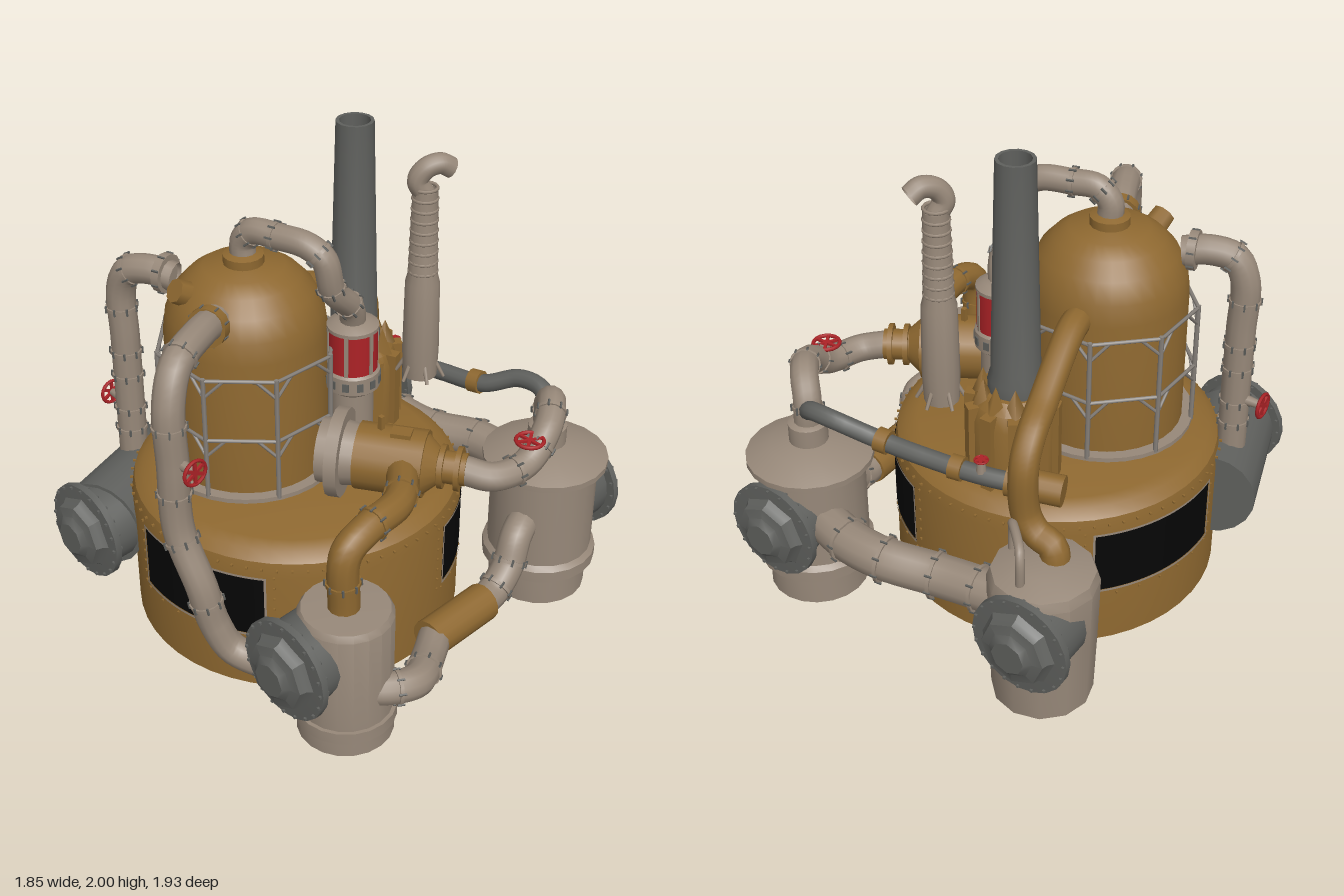
import * as THREE from 'three';
import { mergeGeometries, toCreasedNormals } from 'three/addons/utils/BufferGeometryUtils.js';

const paint = (name, color, side = THREE.DoubleSide) => {
  const m = new THREE.MeshStandardMaterial({ color, side });
  m.name = name;
  return m;
};
const V = (p) => new THREE.Vector3(...p);
const UP = new THREE.Vector3(0, 1, 0);

export function createModel() {
  const model = new THREE.Group();
  const brass = paint('brass', 0x8e6830), stone = paint('stone', 0x978879);
  const iron = paint('iron', 0x5f605d), rail = paint('rail', 0x86807a);
  const red = paint('red', 0xac2226), black = paint('black', 0x060606);

  const add = (name, geo, mat, pos = [0, 0, 0], parent = model) => {
    const m = new THREE.Mesh(geo, mat);
    m.name = name;
    m.position.set(...pos);
    parent.add(m);
    return m;
  };
  const turned = (profile, seg = 24) =>
    toCreasedNormals(new THREE.LatheGeometry(profile.map((p) => new THREE.Vector2(...p)), seg), 0.55);
  // Cylinder geometry between two points
  const rodGeo = (a, b, r1, r2 = r1, seg = 14) => {
    const A = V(a), d = V(b).sub(A);
    const g = new THREE.CylinderGeometry(r2, r1, d.length(), seg);
    g.translate(0, d.length() / 2, 0);
    g.applyQuaternion(new THREE.Quaternion().setFromUnitVectors(UP, d.normalize()));
    return g.translate(A.x, A.y, A.z);
  };
  const rod = (name, a, b, r1, mat, r2 = r1, seg = 14) => add(name, rodGeo(a, b, r1, r2, seg), mat);
  // Bolted collar at a point on a pipe, facing along dir
  const collar = (name, p, dir, r, mat, thick = 0.014) => {
    const g = new THREE.Group();
    g.name = name;
    g.position.copy(p);
    g.quaternion.setFromUnitVectors(UP, dir);
    add(name + 'Ring', new THREE.CylinderGeometry(r, r, thick, 14), mat, [0, 0, 0], g);
    const bolts = [];
    for (let i = 0; i < 8; i++) {
      const a = (i / 8) * Math.PI * 2;
      bolts.push(new THREE.BoxGeometry(0.007, 0.03, 0.007).translate(Math.sin(a) * r, 0, Math.cos(a) * r));
    }
    add(name + 'Bolts', mergeGeometries(bolts), iron, [0, 0, 0], g);
    model.add(g);
  };
  // Bent pipe with collars at the given fractions of its length
  const pipe = (name, pts, r, mat, collars = []) => {
    const c = new THREE.CatmullRomCurve3(pts.map(V));
    add(name, new THREE.TubeGeometry(c, pts.length * 6, r, 12), mat);
    collars.forEach((t) => collar(name + 'Collar', c.getPointAt(t), c.getTangentAt(t), r * 1.1, mat));
  };
  // Spoked hand wheel with a stem
  const valve = (name, pos, axis, r) => {
    const g = new THREE.Group();
    g.name = name;
    g.position.set(...pos);
    g.quaternion.setFromUnitVectors(UP, V(axis));
    add('wheelRim', new THREE.TorusGeometry(r, r * 0.15, 6, 16).rotateX(Math.PI / 2), red, [0, 0, 0], g);
    for (let i = 0; i < 3; i++)
      add('wheelSpoke', new THREE.BoxGeometry(r * 2, 0.01, 0.012).rotateY((i * Math.PI) / 3), red, [0, 0, 0], g);
    add('valveStem', new THREE.CylinderGeometry(0.016, 0.025, 0.09, 8), stone, [0, -0.05, 0], g);
    model.add(g);
  };

  // Main drum, closed underneath
  const cx = -0.1, cz = 0.14, R = 0.68;
  add('drum', turned([[0, 0.005], [R, 0.005], [R, 0.55], [0.667, 0.61], [0.63, 0.645], [0.58, 0.66], [0, 0.66]], 48), brass, [cx, 0, cz]);

  // Three curved windows with thin frames, and rivets around them and the shoulder
  const rad = THREE.MathUtils.degToRad;
  const rivets = [];
  const rivet = (deg, y) => rivets.push(new THREE.BoxGeometry(0.008, 0.008, 0.012)
    .translate(0, y, R).rotateY(rad(deg)).translate(cx, 0, cz));
  for (let i = 0; i < 72; i++) rivet(i * 5, 0.585);
  for (const deg of [-15, 105, 225]) {
    const band = (name, r, y, h, from, len, mat) =>
      add(name, new THREE.CylinderGeometry(r, r, h, 16, 1, true, rad(from), rad(len)), mat, [cx, y, cz]);
    band('window', R + 0.004, 0.405, 0.275, deg, 51, black);
    for (const y of [0.264, 0.546]) band('windowFrame', R + 0.008, y, 0.01, deg - 0.5, 52, stone);
    for (const d of [deg - 0.5, deg + 50.7]) band('windowFrame', R + 0.008, 0.405, 0.29, d, 0.8, stone);
    for (let i = 0; i < 7; i++) {
      rivet(deg + i * 8.5, 0.235);
      rivet(deg - 3, 0.25 + i * 0.05);
      rivet(deg + 54, 0.25 + i * 0.05);
    }
  }
  add('drumRivets', mergeGeometries(rivets), brass);

  // Domed boiler
  const bx = -0.25, bz = 0.26;
  add('boiler', turned([[0.325, 0.64], [0.325, 1.26], [0.312, 1.35], [0.275, 1.43], [0.22, 1.49], [0.16, 1.53], [0, 1.55]], 32), brass, [bx, 0, bz]);
  add('boilerBaseRing', new THREE.CylinderGeometry(0.37, 0.37, 0.022, 32), stone, [bx, 0.668, bz]);
  add('boilerCap', turned([[0.08, 1.53], [0.08, 1.575], [0.05, 1.585]], 16), brass, [bx, 0, bz]);
  rod('boilerKnob', [-0.32, 1.42, 0.43], [-0.338, 1.485, 0.535], 0.055, brass, 0.048, 8);

  // Cage around the boiler
  const bars = [];
  const onCage = (a, y) => [bx + 0.365 * Math.sin(a), y, bz + 0.365 * Math.cos(a)];
  for (let i = 0; i < 8; i++) {
    const a = rad(-24 + i * 45), b = a + Math.PI / 4, p = onCage(a, 0), q = onCage(b, 0);
    const at = (t, y) => [p[0] + (q[0] - p[0]) * t, y, p[2] + (q[2] - p[2]) * t];
    bars.push(rodGeo(at(0, 0.67), at(0, 1.215), 0.01, 0.01, 6));
    for (const y of [0.935, 1.205]) bars.push(rodGeo(at(0, y), at(1, y), 0.008, 0.008, 6));
    for (const y of [0.86, 1.13]) {
      bars.push(rodGeo(at(0, y), at(0.28, y + 0.075), 0.007, 0.007, 5));
      bars.push(rodGeo(at(1, y), at(0.72, y + 0.075), 0.007, 0.007, 5));
    }
  }
  add('boilerCage', mergeGeometries(bars), rail);

  // Corner tanks
  const smallTank = [[0.19, 0], [0.19, 0.07], [0.2, 0.07], [0.2, 0.12], [0.185, 0.12], [0.185, 0.55], [0.17, 0.575], [0, 0.585]];
  add('frontLeftTank', turned(smallTank, 20), stone, [0.655, 0, 0.61]);
  add('backRightTank', turned([[0.2, 0], [0.21, 0.3], [0.215, 0.54], [0.2, 0.58], [0.1, 0.61], [0, 0.615]], 12), stone, [-0.545, 0, -0.645]);
  add('backLeftTank', turned([[0.205, 0], [0.205, 0.13], [0.24, 0.14], [0.24, 0.19], [0.22, 0.21], [0.22, 0.6], [0.26, 0.615],
    [0.26, 0.64], [0.16, 0.685], [0.08, 0.7], [0.08, 0.78], [0.06, 0.79], [0, 0.79]], 20), stone, [0.6, 0, -0.62]);
  rod('frontRightTank', [-0.74, 0.39, 0.31], [-0.585, 0.39, 0.79], 0.19, iron, 0.19, 18);

  // Bolted round hatches on the tanks
  const hatchPlate = turned([[0.17, -0.17], [0.17, 0], [0.208, 0], [0.208, 0.028], [0, 0.04]], 20).rotateX(Math.PI / 2);
  const hatchCap = turned([[0.16, 0.03], [0.142, 0.05], [0.135, 0.075], [0.095, 0.083], [0.07, 0.105], [0, 0.105]], 8).rotateX(Math.PI / 2);
  const hatchBolts = [];
  for (let i = 0; i < 20; i++) {
    const a = (i / 20) * Math.PI * 2;
    hatchBolts.push(new THREE.BoxGeometry(0.01, 0.01, 0.048).translate(0.196 * Math.sin(a), 0.196 * Math.cos(a), 0.014));
  }
  const boltRing = mergeGeometries(hatchBolts);
  for (const x of [-0.59, 0.6]) for (const s of [1, -1]) {
    const g = new THREE.Group();
    g.name = 'hatch';
    g.position.set(x, 0.395, 0.85 * s);
    if (s < 0) g.rotation.y = Math.PI;
    add('hatchPlate', hatchPlate, iron, [0, 0, 0], g);
    add('hatchCap', hatchCap, iron, [0, 0, 0], g);
    add('hatchBolts', boltRing, iron, [0, 0, 0], g);
    model.add(g);
  }

  // Smokestack on a finned base
  const sx = -0.155, sz = -0.25;
  add('smokestack', turned([[0.11, 1.02], [0.11, 1.08], [0.098, 1.12], [0.076, 2], [0.062, 2], [0.062, 1.3], [0, 1.3]], 14), iron, [sx, 0, sz]);
  add('stackBase', turned([[0.17, 0.65], [0.17, 0.93], [0.15, 0.99], [0.11, 1.03], [0, 1.03]], 16), brass, [sx, 0, sz - 0.02]);
  for (let i = 0; i < 10; i++) {
    const a = (i / 10) * Math.PI * 2;
    const fin = new THREE.BoxGeometry(0.05, 0.33, 0.1).translate(0, 0.825, 0.14);
    const tooth = new THREE.ConeGeometry(0.045, 0.11, 4).translate(0, 1.045, 0.125);
    add('stackFin', fin.rotateY(a), brass, [sx, 0, sz - 0.02]);
    add('stackTooth', tooth.rotateY(a), brass, [sx, 0, sz - 0.01]);
  }

  // Whistle pipe with a curled, ribbed top, held clear of the drum
  const wx = 0.12, wz = -0.36;
  add('whistlePipe', turned([[0, 0.93], [0.07, 0.93], [0.075, 1.05], [0.07, 1.36], [0.06, 1.4], [0.05, 1.76]], 14), stone, [wx, 0, wz]);
  for (let i = 0; i < 9; i++)
    add('whistleRib', new THREE.TorusGeometry(0.056 - i * 0.001, 0.007, 6, 14).rotateX(Math.PI / 2), stone, [wx, 1.41 + i * 0.045, wz]);
  pipe('whistleCurl', [[wx, 1.74, wz], [0.1, 1.8, -0.335], [0.12, 1.85, -0.36], [0.15, 1.865, -0.41], [0.17, 1.84, -0.45]], 0.042, stone);
  for (let i = 0; i < 6; i++) {
    const a = (i * Math.PI) / 3, s = Math.sin(a), c = Math.cos(a);
    rod('whistleClaw', [wx + 0.06 * s, 1, wz + 0.06 * c], [wx + 0.1 * s, 0.93, wz + 0.1 * c], 0.01, stone, 0.007, 6);
  }

  // Red canister on its column
  const rx = 0.075, rz = -0.01;
  add('canisterColumn', turned([[0.1, 0.65], [0.1, 0.74], [0.085, 0.76], [0.085, 1], [0.11, 1.02], [0.11, 1.09], [0.1, 1.1]], 20), stone, [rx, 0, rz]);
  add('canister', new THREE.CylinderGeometry(0.1, 0.1, 0.2, 20), red, [rx, 1.19, rz]);
  add('canisterLid', turned([[0.104, 1.275], [0.104, 1.29], [0.07, 1.31], [0, 1.32]], 20), stone, [rx, 0, rz]);
  for (let i = 0; i < 12; i++) {
    const a = (i / 12) * Math.PI * 2, s = Math.sin(a), c = Math.cos(a);
    add('canisterPort', new THREE.BoxGeometry(0.026, 0.035, 0.008).rotateY(a), iron, [rx + 0.109 * s, 1.055, rz + 0.109 * c]);
    if (i % 2) add('canisterStripe', new THREE.BoxGeometry(0.016, 0.18, 0.008).rotateY(a), stone, [rx + 0.1 * s, 1.19, rz + 0.1 * c]);
  }

  // Slanted pump with collars along its axis
  const axis = V([0.42, 0, -0.25]).normalize();
  const onPump = (t) => [0.18 + axis.x * t, 0.84, 0.2 + axis.z * t];
  const drums = [[-0.05, 0, 0.13, 0.13, stone], [0, 0.05, 0.18, 0.18, stone], [0.05, 0.12, 0.13, 0.12, stone], [0.1, 0.37, 0.135, 0.135, brass],
    [0.37, 0.42, 0.12, 0.075, brass], [0.42, 0.53, 0.065, 0.065, brass], [0.425, 0.445, 0.088, 0.088, brass], [0.49, 0.51, 0.088, 0.088, brass]];
  for (const [a, b, r1, r2, mat] of drums) rod('pumpSection', onPump(a), onPump(b), r1, mat, r2, 16);
  add('pumpHatch', new THREE.BoxGeometry(0.08, 0.02, 0.06).rotateY(0.54), brass, [0.42, 0.975, 0.07]);
  add('pumpHandle', new THREE.BoxGeometry(0.02, 0.06, 0.02), brass, [0.34, 1, 0.1]);

  // Pipework
  pipe('boilerSidePipe', [[-0.5, 1.43, 0.4], [-0.59, 1.445, 0.44], [-0.69, 1.42, 0.48], [-0.735, 1.33, 0.49], [-0.735, 1.1, 0.49],
    [-0.735, 0.8, 0.49], [-0.735, 0.52, 0.49]], 0.06, stone, [0.18, 0.36, 0.54, 0.64, 0.78, 0.87]);
  collar('boilerSideFlange', V([-0.54, 1.44, 0.415]), V([-0.96, 0, 0.28]).normalize(), 0.08, stone, 0.035);
  valve('sideValve', [-0.86, 0.78, 0.49], [-1, 0, 0], 0.05);
  pipe('boilerFrontPipe', [[-0.15, 1.42, 0.5], [-0.08, 1.445, 0.64], [0.0, 1.42, 0.82], [0.035, 1.3, 0.89], [0.045, 1.05, 0.895], [0.05, 0.75, 0.89],
    [0.14, 0.52, 0.87], [0.17, 0.34, 0.84], [0.22, 0.22, 0.8], [0.34, 0.18, 0.74], [0.52, 0.18, 0.66]], 0.062, stone, [0.16, 0.3, 0.45, 0.56, 0.7, 0.9]);
  collar('boilerFrontFlange', V([-0.13, 1.42, 0.55]), V([0.4, 0.1, 0.9]).normalize(), 0.08, brass, 0.045);
  valve('frontValve', [0.165, 1.07, 0.89], [1, 0, 0], 0.05);
  pipe('boilerTopPipe', [[bx, 1.56, bz], [bx, 1.63, bz], [-0.2, 1.685, 0.25], [-0.1, 1.69, 0.225], [0.03, 1.685, 0.19], [0.095, 1.64, 0.165],
    [0.105, 1.5, 0.13], [0.095, 1.38, 0.02], [rx, 1.28, rz]], 0.052, stone, [0.14, 0.28, 0.5, 0.68, 0.85]);
  pipe('pumpToTankPipe', [[0.4, 0.85, 0.06], [0.53, 0.86, 0.18], [0.63, 0.875, 0.32], [0.655, 0.875, 0.5], [0.655, 0.82, 0.61], [0.655, 0.57, 0.62]], 0.062, brass, [0.3, 0.55, 0.86]);
  pipe('tankToPumpPipe', [[0.6, 0.72, -0.62], [0.6, 0.88, -0.61], [0.66, 0.95, -0.55], [0.74, 0.92, -0.43], [0.76, 0.83, -0.28],
    [0.72, 0.82, -0.13], [0.62, 0.84, -0.06]], 0.058, stone, [0.15, 0.4, 0.58, 0.75]);
  valve('pumpValve', [0.755, 0.925, -0.3], [0, 1, 0], 0.055);
  pipe('lowerPipeFront', [[0.72, 0.24, 0.64], [0.82, 0.24, 0.55], [0.86, 0.23, 0.44], [0.78, 0.2, 0.28], [0.715, 0.195, 0.17]], 0.066, stone, [0.3, 0.6]);
  rod('lowerPipeSleeve', [0.71, 0.195, 0.2], [0.71, 0.195, -0.13], 0.08, brass);
  pipe('lowerPipeBack', [[0.71, 0.195, -0.1], [0.7, 0.2, -0.2], [0.69, 0.27, -0.3], [0.67, 0.38, -0.37], [0.63, 0.42, -0.5]], 0.066, stone, [0.25, 0.5]);
  pipe('backPipe', [[-0.5, 0.4, -0.68], [-0.3, 0.39, -0.69], [-0.1, 0.38, -0.71], [0.12, 0.4, -0.77], [0.3, 0.4, -0.76], [0.55, 0.4, -0.68]], 0.088, stone, [0.2, 0.38, 0.58, 0.76]);
  pipe('boilerBackPipe', [[-0.29, 1.27, 0], [-0.315, 1.265, -0.12], [-0.375, 1.12, -0.4], [-0.405, 1.065, -0.52], [-0.42, 0.97, -0.59],
    [-0.43, 0.75, -0.59], [-0.48, 0.68, -0.59], [-0.55, 0.65, -0.59], [-0.57, 0.55, -0.6]], 0.058, brass);
  pipe('thinPipe', [[-0.53, 0.55, -0.78], [-0.53, 0.7, -0.78], [-0.51, 0.74, -0.755], [-0.41, 0.74, -0.65], [-0.39, 0.69, -0.62], [-0.39, 0.55, -0.62]], 0.018, stone);
  pipe('feedPipe', [[-0.45, 0.79, -0.46], [-0.2, 0.8, -0.54], [0.05, 0.81, -0.58], [0.26, 0.83, -0.61], [0.4, 0.89, -0.67], [0.52, 0.89, -0.67], [0.6, 0.83, -0.62]], 0.038, iron);
  rod('feedPipeEnd', [-0.5, 0.79, -0.44], [-0.29, 0.8, -0.51], 0.062, brass);
  rod('feedPipeSleeve', [-0.12, 0.805, -0.555], [-0.07, 0.807, -0.565], 0.05, brass);
  rod('feedPipeSleeve', [0.2, 0.825, -0.6], [0.25, 0.83, -0.608], 0.05, brass);
  valve('feedValve', [-0.2, 0.88, -0.55], [0, 1, 0], 0.026);

  return model;
}
